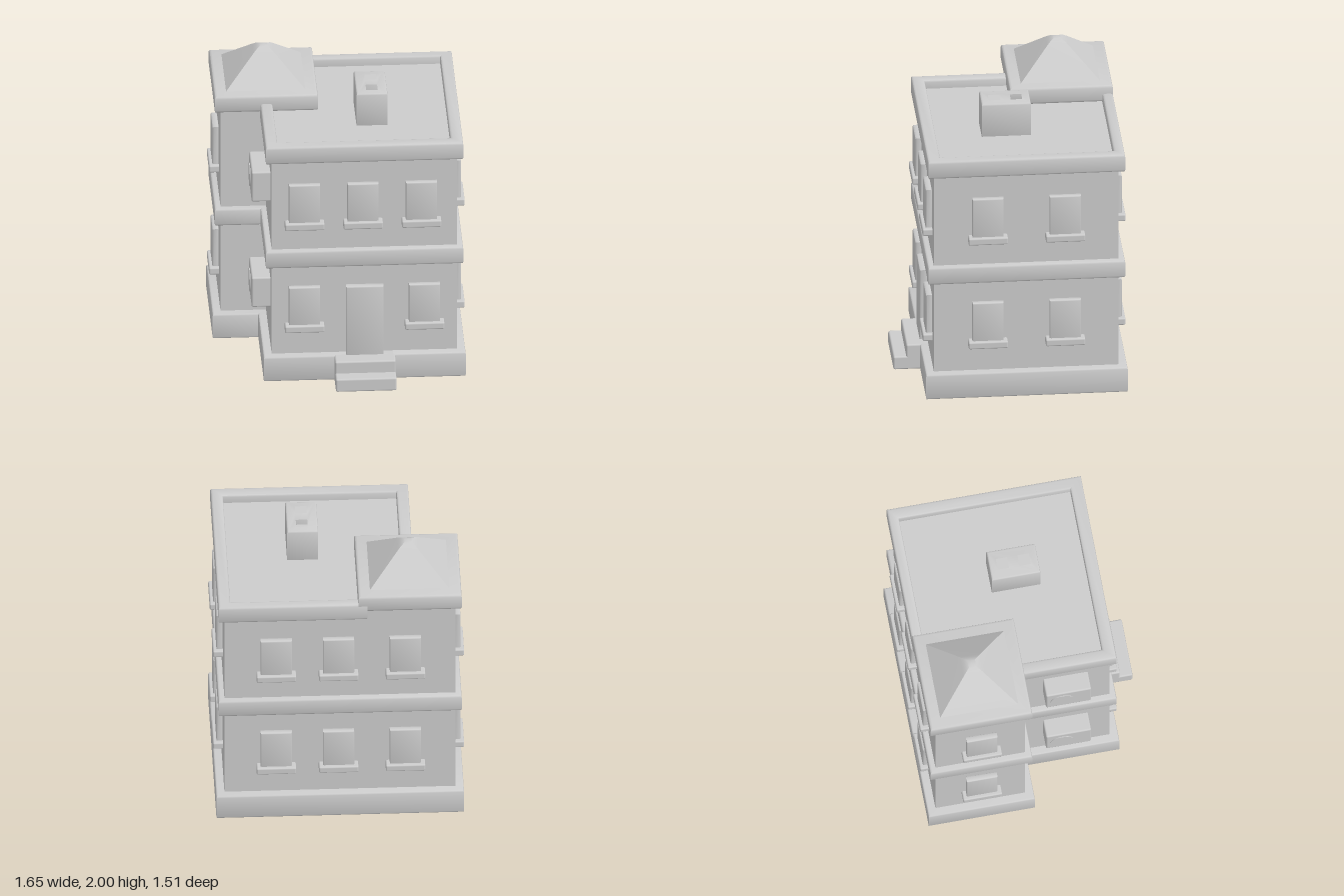
import * as THREE from 'three';
import { toCreasedNormals } from 'three/addons/utils/BufferGeometryUtils.js';
import { RoundedBoxGeometry } from 'three/addons/geometries/RoundedBoxGeometry.js';

const grey = new THREE.MeshStandardMaterial({ color: 0xcccccc });

function add(parent, name, geometry) {
  const mesh = new THREE.Mesh(geometry, grey);
  mesh.name = name;
  parent.add(mesh);
  return mesh;
}

// Soft-edged box given by its minimum and maximum corners.
function block(parent, name, min, max, radius = 0.01) {
  const size = max.map((v, i) => v - min[i]);
  const mesh = add(parent, name, new RoundedBoxGeometry(...size, 2, radius));
  mesh.position.set(...max.map((v, i) => (v + min[i]) / 2));
  return mesh;
}

const outline = (pts) => pts.map(([x, y]) => new THREE.Vector2(x, y));
const rect = (x0, y0, x1, y1) => [[x0, y0], [x1, y0], [x1, y1], [x0, y1]];

// Extrude an outline along z from 0 to depth, with a rounded bevel kept inside the outline.
function extrude(pts, depth, bevel, holes = []) {
  const shape = new THREE.Shape(outline(pts));
  holes.forEach((h) => shape.holes.push(new THREE.Path(outline(h))));
  const geo = new THREE.ExtrudeGeometry(shape, {
    depth: depth - 2 * bevel, bevelEnabled: bevel > 0, bevelSize: bevel,
    bevelThickness: bevel, bevelOffset: -bevel, bevelSegments: 2,
  });
  geo.translate(0, 0, bevel);
  return toCreasedNormals(geo, 0.9);
}

// Extrude a floor plan of [x, z] points upwards from y0 to y1.
function plan(parent, name, pts, y0, y1, bevel, holes = []) {
  const flip = (p) => p.map(([x, z]) => [x, -z]);
  const geo = extrude(flip(pts), y1 - y0, bevel, holes.map(flip));
  geo.rotateX(-Math.PI / 2);
  geo.translate(0, y0, 0);
  return add(parent, name, geo);
}

// L-shaped footprint of the house and corner tower, widened by d.
const footprint = (d) => [
  [-0.76 - d, -0.69 - d], [0.76 + d, -0.69 - d], [0.76 + d, 0.53 + d],
  [-0.46 - d, 0.53 + d], [-0.46 - d, -0.09 + d], [-0.76 - d, -0.09 + d],
];

// Sash window facing +z, with its sill's underside at y = 0.
function createWindow() {
  const g = new THREE.Group();
  g.name = 'window';
  block(g, 'sill', [-0.13, 0, -0.02], [0.13, 0.05, 0.065]);
  add(g, 'frame', extrude(rect(-0.103, 0.04, 0.103, 0.325), 0.042, 0.008,
    [rect(-0.074, 0.05, 0.074, 0.297)]));
  add(g, 'upperSash', extrude(rect(-0.078, 0.2, 0.078, 0.3), 0.025, 0.004,
    [rect(-0.06, 0.215, 0.06, 0.285)]));
  add(g, 'lowerSash', extrude(rect(-0.078, 0.045, 0.078, 0.2), 0.018, 0.004,
    [rect(-0.064, 0.065, 0.064, 0.186)]));
  block(g, 'meetingRail', [-0.08, 0.192, 0], [0.08, 0.212, 0.036], 0.006);
  block(g, 'glass', [-0.08, 0.05, -0.01], [0.08, 0.3, 0.006], 0.002);
  return g;
}

export function createModel() {
  const house = new THREE.Group();
  house.name = 'house';

  // Masonry
  plan(house, 'plinth', footprint(0.055), 0, 0.18, 0.012);
  plan(house, 'walls', footprint(0), 0.1, 1.67, 0);
  plan(house, 'floorBand', footprint(0.04), 0.83, 0.955, 0.015);

  // Roof parapet, open where the tower stands
  plan(house, 'parapet', [
    [-0.18, -0.73], [0.8, -0.73], [0.8, 0.57], [-0.5, 0.57], [-0.5, -0.11],
    [-0.42, -0.11], [-0.42, 0.485], [0.72, 0.485], [0.72, -0.66], [-0.18, -0.66],
  ], 1.605, 1.73, 0.015);

  // Tower cornice and pyramid roof with a rounded tip
  plan(house, 'towerCornice', rect(-0.8, -0.73, -0.12, -0.05), 1.67, 1.79, 0.018,
    [rect(-0.73, -0.66, -0.19, -0.12)]);
  const slope = [[0.31, 1.745], [0.07, 1.965], [0.048, 1.983], [0.024, 1.996], [0, 2]];
  const pyramid = new THREE.LatheGeometry(
    outline(slope.map(([r, y]) => [r * Math.SQRT2, y])), 4, Math.PI / 4);
  add(house, 'towerRoof', toCreasedNormals(pyramid, 0.6)).position.set(-0.46, 0, -0.39);

  // Chimney with two flues
  plan(house, 'chimney', rect(0.12, -0.15, 0.325, 0.175), 1.66, 1.905, 0.012,
    [rect(0.175, -0.11, 0.275, -0.01), rect(0.175, 0.035, 0.275, 0.135)]);
  block(house, 'flueFloor', [0.15, -0.13, 1.68].map((v, i, a) => a[[0, 2, 1][i]]), [0.3, 1.82, 0.155], 0.005);

  // Windows: wall position, turn about y, and centres along each wall per storey
  const upper = 1.12, lower = 0.36;
  const onFront = (x) => [x, 0.53, 0];
  const onBack = (x) => [x, -0.69, Math.PI];
  const onLeft = (z) => [0.76, z, Math.PI / 2];
  const onTower = (z) => [-0.76, z, -Math.PI / 2];
  const shared = [...[-0.43, 0.01, 0.42].map(onBack), ...[0.175, -0.335].map(onLeft), onTower(-0.385)];
  const storeys = [
    [upper, [...shared, ...[-0.245, 0.14, 0.525].map(onFront)]],
    [lower, [...shared, ...[-0.245, 0.545].map(onFront)]],
  ];
  for (const [y, places] of storeys) {
    for (const [x, z, turn] of places) {
      const w = createWindow();
      w.position.set(x, y, z);
      w.rotation.y = turn;
      house.add(w);
    }
  }

  // Front door and steps
  const door = new THREE.Group();
  door.name = 'door';
  door.position.z = 0.53;
  add(door, 'doorFrame', extrude(rect(0.028, 0.17, 0.275, 0.685), 0.05, 0.008,
    [rect(0.055, 0.18, 0.248, 0.658)]));
  block(door, 'doorPanel', [0.045, 0.17, -0.02], [0.258, 0.67, 0.034], 0.005);
  house.add(door);
  block(house, 'upperStep', [-0.05, 0, 0.5], [0.35, 0.18, 0.675], 0.012);
  block(house, 'lowerStep', [-0.05, 0, 0.5], [0.35, 0.095, 0.76], 0.012);

  // Cooling units on the right wall
  for (const y of [0.45, 1.235]) {
    block(house, 'coolingUnit', [-0.583, y, 0.083], [-0.44, y + 0.22, 0.385], 0.012);
    const fan = add(house, 'fanCover', new THREE.CylinderGeometry(0.078, 0.078, 0.02, 24));
    fan.rotation.z = Math.PI / 2;
    fan.position.set(-0.578, y + 0.105, 0.19);
  }
  return house;
}
